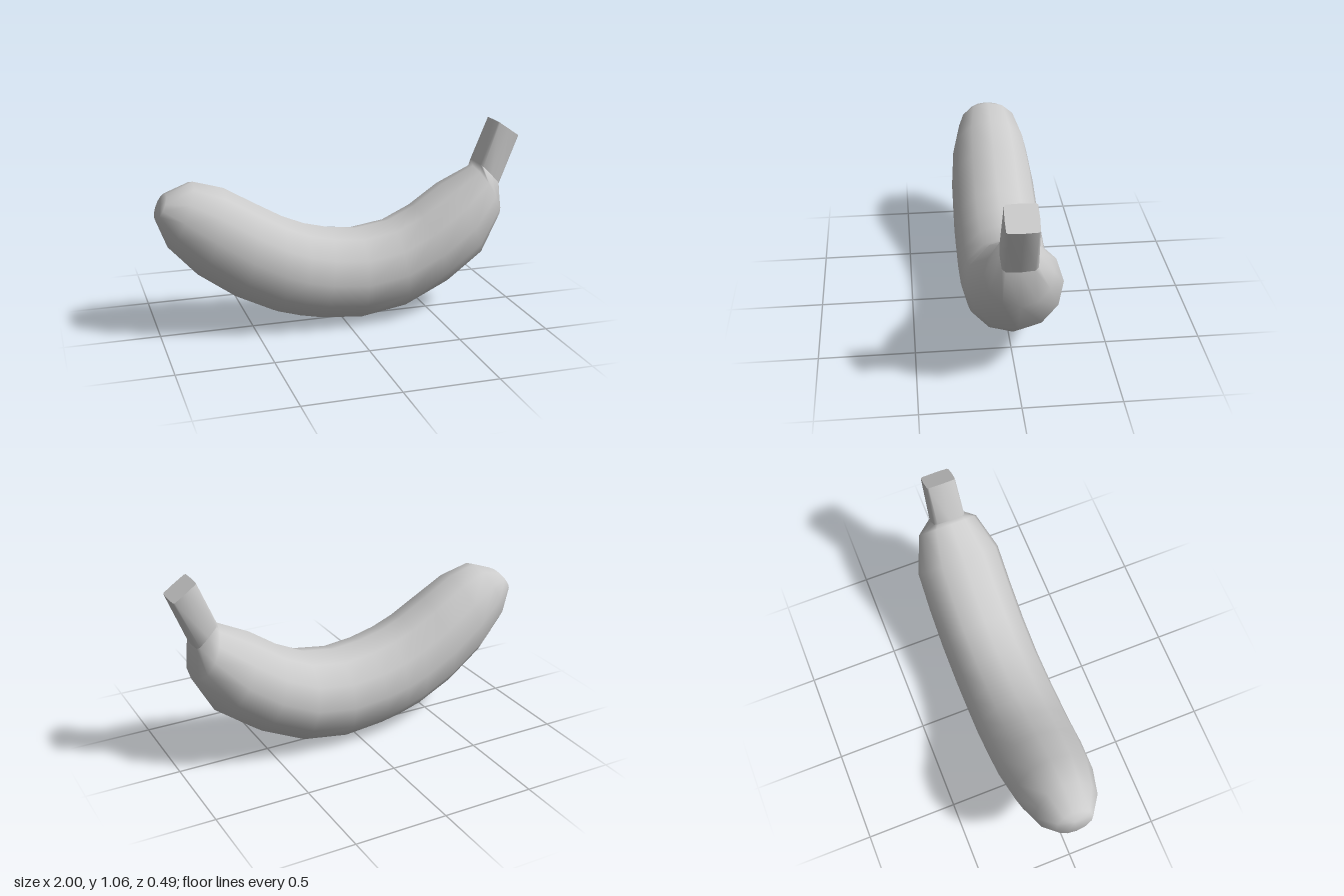
import * as THREE from 'three';
import { toCreasedNormals } from 'three/addons/utils/BufferGeometryUtils.js';

const SIDES = 12;

// Cross-sections: inner x, y, outer x, y, half width, corner exponent (1 = round, small = boxy)
const BODY = [
  [-0.935, 0.78, -1.0, 0.655, 0.1, 1],
  [-0.795, 0.835, -0.94, 0.495, 0.17, 1],
  [-0.64, 0.79, -0.79, 0.33, 0.217, 1],
  [-0.47, 0.69, -0.59, 0.185, 0.238, 1],
  [-0.33, 0.61, -0.39, 0.085, 0.242, 1],
  [-0.21, 0.56, -0.27, 0.05, 0.245, 1],
  [-0.07, 0.525, -0.15, 0.025, 0.245, 1],
  [0.09, 0.508, 0.08, 0.003, 0.245, 1],
  [0.27, 0.535, 0.34, 0.045, 0.245, 1],
  [0.42, 0.605, 0.59, 0.165, 0.243, 1],
  [0.58, 0.715, 0.79, 0.315, 0.238, 1],
  [0.76, 0.805, 0.905, 0.525, 0.168, 1],
  [0.772, 0.83, 0.892, 0.71, 0.092, 0.4],
];
const STEM = [
  BODY[BODY.length - 1],
  [0.87, 1.06, 0.995, 0.975, 0.08, 0.2],
];

// Skins the cross-sections, closing the first and/or last one with a fan
function loft(sections, capStart, capEnd) {
  const pos = [], index = [];
  const bend = (v, e) => Math.sign(v) * Math.pow(Math.abs(v), e);
  for (const [ix, iy, ox, oy, w, e] of sections) {
    for (let j = 0; j < SIDES; j++) {
      const a = (j / SIDES) * Math.PI * 2;
      const c = Math.abs(Math.cos(a)) < 1e-6 ? 0 : bend(Math.cos(a), e);
      const s = Math.abs(Math.sin(a)) < 1e-6 ? 0 : bend(Math.sin(a), e);
      pos.push((ix + ox) / 2 + c * (ix - ox) / 2, (iy + oy) / 2 + c * (iy - oy) / 2, s * w);
    }
  }
  const cap = (row, flip) => {
    const [ix, iy, ox, oy] = sections[row];
    const centre = pos.length / 3;
    pos.push((ix + ox) / 2, (iy + oy) / 2, 0);
    for (let j = 0; j < SIDES; j++) {
      const p = row * SIDES + j, q = row * SIDES + (j + 1) % SIDES;
      index.push(centre, flip ? q : p, flip ? p : q);
    }
  };
  for (let i = 0; i < sections.length - 1; i++) {
    for (let j = 0; j < SIDES; j++) {
      const k = (j + 1) % SIDES;
      const a = i * SIDES + j, b = i * SIDES + k;
      index.push(a, b, a + SIDES, b, b + SIDES, a + SIDES);
    }
  }
  if (capStart) cap(0, true);
  if (capEnd) cap(sections.length - 1, false);
  const g = new THREE.BufferGeometry();
  g.setAttribute('position', new THREE.Float32BufferAttribute(pos, 3));
  g.setIndex(index);
  return g;
}

export function createModel() {
  const group = new THREE.Group();
  group.name = 'banana';
  const material = new THREE.MeshStandardMaterial({ color: 0xcccccc });

  // Curved fruit with a blunt tip, smooth all over
  const bodyGeometry = loft(BODY, true, false);
  bodyGeometry.computeVertexNormals();
  const body = new THREE.Mesh(bodyGeometry, material);
  body.name = 'body';

  // Angular stem with a flat cut end
  const stem = new THREE.Mesh(toCreasedNormals(loft(STEM, false, true), 0.9), material);
  stem.name = 'stem';

  group.add(body, stem);
  return group;
}
